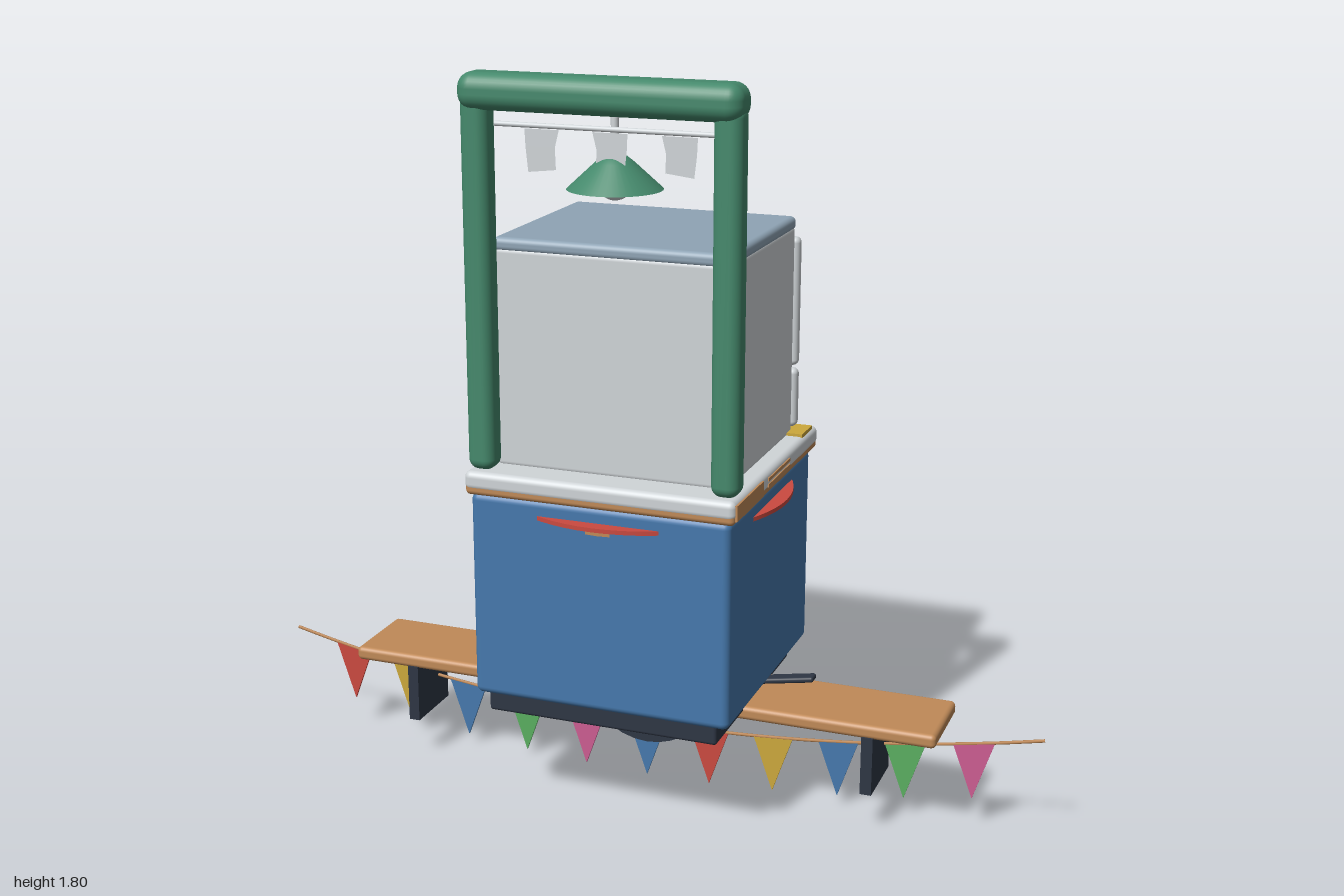
import * as THREE from 'three';
import { RoundedBoxGeometry } from 'three/addons/geometries/RoundedBoxGeometry.js';

const mat = (name, color, side = THREE.FrontSide) => {
  const m = new THREE.MeshStandardMaterial({ color, side });
  m.name = name;
  return m;
};

export function createModel() {
  const root = new THREE.Group();
  root.name = 'kitchenStand';
  const blue = mat('blue', 0x4679ad, THREE.DoubleSide);
  const red = mat('red', 0xcb4a40, THREE.DoubleSide);
  const yellow = mat('yellow', 0xcca83c, THREE.DoubleSide);
  const leaf = mat('leafGreen', 0x5aae60, THREE.DoubleSide);
  const pink = mat('pink', 0xcc5d92, THREE.DoubleSide);
  const green = mat('darkGreen', 0x45896c, THREE.DoubleSide);
  const white = mat('enamelWhite', 0xd0d5d8, THREE.DoubleSide);
  const steel = mat('steel', 0x8fa4b5);
  const wood = mat('wood', 0xc08a58);
  const dark = mat('charcoal', 0x2e3644);

  const add = (name, geo, material, x = 0, y = 0, z = 0) => {
    const m = new THREE.Mesh(geo, material);
    m.name = name;
    m.position.set(x, y, z);
    root.add(m);
    return m;
  };
  // Box given by its limits, rounded when r > 0
  const box = (name, material, [x0, x1], [y0, y1], [z0, z1], r = 0) => {
    const w = x1 - x0, h = y1 - y0, d = z1 - z0;
    const geo = r ? new RoundedBoxGeometry(w, h, d, 4, r) : new THREE.BoxGeometry(w, h, d);
    return add(name, geo, material, (x0 + x1) / 2, (y0 + y1) / 2, (z0 + z1) / 2);
  };
  const cyl = (name, material, r, h, x, y, z, axis = 'y') => {
    const geo = new THREE.CylinderGeometry(r, r, h, 32);
    if (axis === 'x') geo.rotateZ(Math.PI / 2);
    if (axis === 'z') geo.rotateX(Math.PI / 2);
    return add(name, geo, material, x, y, z);
  };

  // Cooker body on a dark plinth, with thin discs breaking through its sides
  box('plinth', dark, [-0.29, 0.29], [0.265, 0.33], [-0.243, 0.325], 0.008);
  box('cookerBody', blue, [-0.322, 0.322], [0.31, 0.82], [-0.295, 0.337], 0.018);
  const disc = add('redDisc', new THREE.CylinderGeometry(0.357, 0.357, 0.01, 64), red, 0, 0.777, 0.014);
  disc.name = 'redDisc';
  cyl('woodDisc', wood, 0.326, 0.009, 0, 0.757, 0.014);

  // Worktop
  box('worktopUnderside', wood, [-0.333, 0.333], [0.815, 0.85], [-0.315, 0.343], 0.012);
  box('worktop', white, [-0.335, 0.335], [0.826, 0.873], [-0.318, 0.345], 0.016);
  box('worktopInlayFront', wood, [0.33, 0.338], [0.826, 0.864], [0.14, 0.335]);
  for (const y of [0.84, 0.855]) box('worktopStripe', wood, [0.33, 0.338], [y - 0.004, y + 0.004], [-0.07, 0.1]);
  box('worktopInlayBack', wood, [-0.338, -0.33], [0.826, 0.864], [-0.3, -0.12]);
  box('yellowShelfStrip', yellow, [-0.328, 0.328], [0.87, 0.88], [-0.285, -0.2]);

  // Oven front, on the back side
  box('ovenTrim', red, [-0.305, 0.305], [0.325, 0.735], [-0.3, -0.29]);
  box('ovenDoor', steel, [-0.288, 0.288], [0.34, 0.72], [-0.314, -0.29], 0.01);
  box('ovenWindow', wood, [-0.19, 0.19], [0.44, 0.59], [-0.32, -0.312]);
  box('controlPanel', steel, [-0.31, 0.31], [0.74, 0.815], [-0.312, -0.29], 0.006);
  cyl('ovenHandle', white, 0.012, 0.4, 0, 0.7, -0.357, 'x');
  for (const x of [-0.17, 0.17]) cyl('ovenHandleMount', white, 0.009, 0.05, x, 0.7, -0.333, 'z');
  for (const x of [-0.22, -0.075, 0.075, 0.22]) {
    cyl('knobRing', red, 0.031, 0.008, x, 0.778, -0.315, 'z');
    cyl('knob', white, 0.024, 0.03, x, 0.778, -0.328, 'z');
  }

  // Refrigerator
  box('fridgeBody', white, [-0.288, 0.288], [0.865, 1.395], [-0.245, 0.257], 0.015);
  box('fridgeTop', steel, [-0.29, 0.29], [1.382, 1.416], [-0.245, 0.258], 0.014);
  box('doorSeal', dark, [-0.275, 0.275], [0.89, 1.375], [-0.255, -0.24]);
  box('lowerDoor', white, [-0.295, 0.295], [0.88, 1.03], [-0.283, -0.25], 0.014);
  box('upperDoor', white, [-0.295, 0.295], [1.038, 1.36], [-0.283, -0.25], 0.014);
  for (const [y0, y1] of [[0.79, 0.985], [1.075, 1.29]]) {
    box('fridgeHandle', white, [0.228, 0.254], [y0, y1], [-0.336, -0.31], 0.01);
    for (const y of [Math.max(y0 + 0.025, 0.9), y1 - 0.025])
      cyl('fridgeHandleMount', white, 0.008, 0.045, 0.241, y, -0.296, 'z');
  }
  for (const [x, y, m] of [[0.035, 1.205, green], [-0.06, 1.26, steel], [-0.14, 1.21, yellow]])
    cyl('magnet', m, 0.027, 0.012, x, y, -0.287, 'z');

  // Arch
  for (const s of [-1, 1])
    box('archPost', green, [s * 0.3 - 0.034, s * 0.3 + 0.034], [0.872, 1.75], [0.26, 0.33], 0.026);
  box('archBeam', green, [-0.336, 0.336], [1.713, 1.798], [0.243, 0.346], 0.036);

  // Rail with hanging cloths
  cyl('rail', white, 0.006, 0.56, 0, 1.675, 0.245, 'x');
  for (const x of [-0.165, 0, 0.165]) {
    const k = x < 0 ? -1 : 1;
    const cloth = new THREE.Shape([[-0.042, 0.045], [0.042, 0.045], [0.036 + 0.004 * k, 0.005],
      [0.034, -0.045], [-0.034, -0.045 + 0.008 * k], [-0.036 + 0.004 * k, 0.005]].map(p => new THREE.Vector2(...p)));
    add('cloth', new THREE.ShapeGeometry(cloth), white, x, 1.622, 0.245);
  }

  // Hanging lamp
  cyl('lampStem', white, 0.009, 0.13, 0, 1.67, 0.215);
  add('lampShade', new THREE.LatheGeometry([[0.001, 1.618], [0.025, 1.614], [0.045, 1.598], [0.11, 1.538]]
    .map(p => new THREE.Vector2(...p)).reverse(), 40), green, 0, 0, 0.215);
  add('bulb', new THREE.SphereGeometry(0.042, 24, 16), white, 0, 1.554, 0.215);

  // Bench plank and legs
  box('benchPlank', wood, [-0.763, 0.763], [0.245, 0.28], [-0.098, 0.125], 0.012);
  for (const s of [-1, 1])
    box('benchLeg', dark, [s * 0.6 - 0.014, s * 0.6 + 0.014], [0.103, 0.25], [-0.04, 0.128]);

  // Half-sunk dial below the plank, face towards the back
  cyl('dialCase', dark, 0.172, 0.034, 0, 0.265, 0, 'z');
  cyl('dialFace', white, 0.145, 0.006, 0, 0.265, -0.017, 'z');
  for (let i = 0; i <= 10; i++) {
    const a = Math.PI * (1 + i / 10);
    const tick = add('dialTick', new THREE.BoxGeometry(0.022, 0.005, 0.004), dark,
      0.122 * Math.cos(a), 0.265 + 0.122 * Math.sin(a), -0.021);
    tick.rotation.z = a;
  }

  // Side lever and rear pedal
  const lever = add('sideLever', new RoundedBoxGeometry(0.16, 0.014, 0.036, 3, 0.006), dark, 0.355, 0.316, 0.006);
  lever.rotation.z = 0.18;
  box('rearPedal', steel, [-0.08, 0.08], [0.266, 0.288], [-0.278, -0.235], 0.008);

  // Bunting on a sagging string
  const sag = x => 0.145 + 0.115 * x * x;
  const pts = Array.from({ length: 21 }, (_, i) => new THREE.Vector3(-1 + i / 10, sag(-1 + i / 10), 0.012));
  add('buntingString', new THREE.TubeGeometry(new THREE.CatmullRomCurve3(pts), 60, 0.004, 6), wood);
  const flagColors = [red, yellow, blue, leaf, pink, blue, red, yellow, blue, leaf, pink];
  flagColors.forEach((m, i) => {
    const x = (i - 5) / 6;
    const flag = new THREE.Shape([[x - 0.05, sag(x - 0.05)], [x, sag(x) - 0.143], [x + 0.05, sag(x + 0.05)]]
      .map(p => new THREE.Vector2(...p)));
    add('buntingFlag', new THREE.ExtrudeGeometry(flag, { depth: 0.006, bevelEnabled: false }), m, 0, 0, 0.009);
  });
  return root;
}
